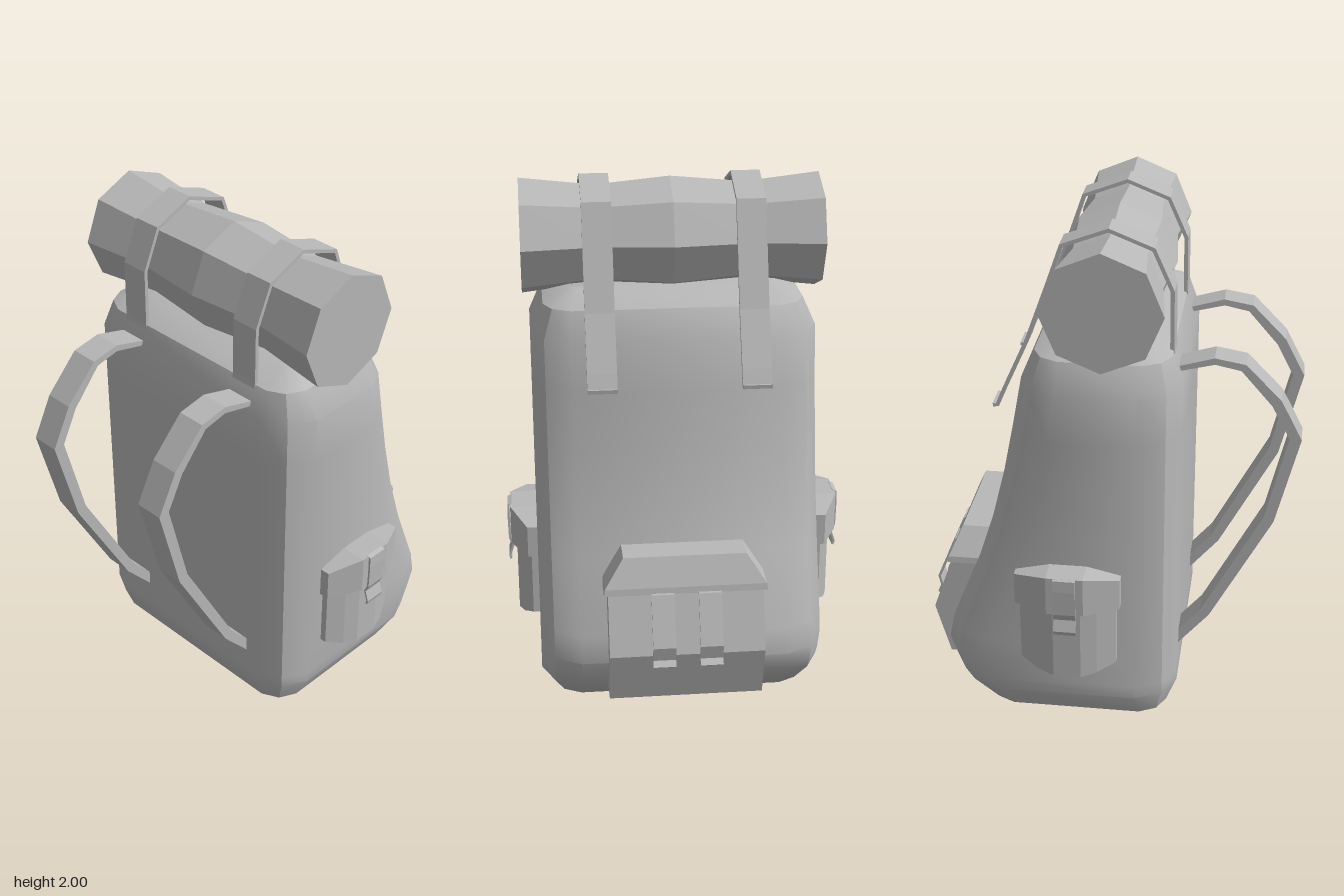
import * as THREE from 'three';
import { toCreasedNormals } from 'three/addons/utils/BufferGeometryUtils.js';

const canvas = new THREE.MeshStandardMaterial({ color: 0xb8b8b8 });
canvas.name = 'grey canvas';

// Skin closed rings of [x, y, z] points, cap both ends and face outwards.
function loft(rings, crease = 0) {
  const tris = [];
  const n = rings[0].length;
  for (let i = 0; i < rings.length - 1; i++) {
    for (let j = 0; j < n; j++) {
      const k = (j + 1) % n;
      const [a, b, c, d] = [rings[i][j], rings[i][k], rings[i + 1][k], rings[i + 1][j]];
      tris.push([a, b, c], [a, c, d]);
    }
  }
  const cap = (ring, flip) => {
    const mid = [0, 1, 2].map(q => ring.reduce((s, p) => s + p[q], 0) / n);
    ring.forEach((p, j) => {
      const next = ring[(j + 1) % n];
      tris.push(flip ? [mid, next, p] : [mid, p, next]);
    });
  };
  cap(rings[0], true);
  cap(rings[rings.length - 1], false);
  const volume = tris.reduce((sum, t) => {
    const [a, b, c] = t.map(p => new THREE.Vector3(...p));
    return sum + a.dot(b.cross(c));
  }, 0);
  if (volume < 0) tris.forEach(t => t.reverse());
  const geo = new THREE.BufferGeometry();
  geo.setAttribute('position', new THREE.Float32BufferAttribute(tris.flat(2), 3));
  geo.computeVertexNormals();
  return crease ? toCreasedNormals(geo, crease) : geo;
}

// Flat-edged band: a polyline of [u, v, thickness] thickened into a closed strip;
// place(u, v, side) turns it into 3D, with side = -1 or 1 for the two edges.
function band(path, place) {
  const pts = path.map(p => new THREE.Vector2(p[0], p[1]));
  const rings = pts.map((p, i) => {
    const before = pts[Math.max(i - 1, 0)];
    const after = pts[Math.min(i + 1, pts.length - 1)];
    const dir = after.clone().sub(before).normalize();
    const t = path[i][2] / 2;
    const [ox, oy] = [-dir.y * t, dir.x * t];
    return [
      place(p.x + ox, p.y + oy, -1), place(p.x + ox, p.y + oy, 1),
      place(p.x - ox, p.y - oy, 1), place(p.x - ox, p.y - oy, -1),
    ];
  });
  return loft(rings);
}

export function createModel() {
  const model = new THREE.Group();
  model.name = 'backpack';
  const add = (name, geo) => {
    const mesh = new THREE.Mesh(geo, canvas);
    mesh.name = name;
    model.add(mesh);
  };

  // Main bag: [y, half width, front z, back z, corner size]
  const levels = [
    [0, 0.39, 0.13, -0.30, 0.03],
    [0.05, 0.49, 0.25, -0.45, 0.10],
    [0.15, 0.54, 0.29, -0.555, 0.15],
    [0.20, 0.54, 0.29, -0.59, 0.15],
    [0.28, 0.54, 0.29, -0.62, 0.15],
    [0.38, 0.54, 0.29, -0.60, 0.15],
    [0.65, 0.54, 0.29, -0.49, 0.15],
    [0.85, 0.54, 0.29, -0.425, 0.15],
    [1.05, 0.54, 0.29, -0.375, 0.15],
    [1.25, 0.54, 0.29, -0.335, 0.15],
    [1.44, 0.54, 0.29, -0.30, 0.15],
    [1.55, 0.49, 0.25, -0.25, 0.10],
    [1.60, 0.39, 0.13, -0.13, 0.03],
  ];
  const bagRings = levels.map(([y, w, f, b, c]) => {
    const corner = [[0, c], [c / 3, c / 3], [c, 0]];
    const front = s => corner.map(([dx, dz]) => [s * (w - dx), y, f - dz]);
    const back = s => corner.map(([dx, dz]) => [s * (w - dx), y, b + dz]);
    return [...front(1), ...front(-1).reverse(), ...back(-1), ...back(1).reverse()];
  });
  add('bag', loft(bagRings, THREE.MathUtils.degToRad(33)));

  // Bedroll, pinched where the straps hold it
  const stations = [[-0.565, 0.222], [-0.285, 0.19], [0, 0.217], [0.285, 0.19], [0.565, 0.222]];
  const rollRings = stations.map(([x, r]) => Array.from({ length: 8 }, (_, i) => {
    const a = i * Math.PI / 4;
    return [x, 1.767 + r * Math.cos(a), 0.015 + r * Math.sin(a)];
  }));
  add('bedroll', loft(rollRings));

  // Straps, all drawn as [z, y, thickness]
  const rollStrap = [
    [0.255, 1.475, 0.015], [0.245, 1.56, 0.015], [0.243, 1.775, 0.015], [0.175, 1.928, 0.015],
    [0.015, 1.992, 0.015], [-0.155, 1.928, 0.015], [-0.208, 1.775, 0.015],
    [-0.29, 1.55, 0.015], [-0.38, 1.35, 0.015], [-0.403, 1.295, 0.015], [-0.42, 1.293, 0.015],
  ];
  const shoulderStrap = [
    [0.23, 1.49, 0.02], [0.27, 1.48, 0.02], [0.40, 1.515, 0.025], [0.505, 1.495, 0.03],
    [0.63, 1.36, 0.04], [0.704, 1.218, 0.045], [0.62, 0.875, 0.042],
    [0.39, 0.44, 0.04], [0.275, 0.305, 0.04],
  ];
  const pocketStrap = [
    [-0.58, 0.575, 0.01], [-0.643, 0.57, 0.01], [-0.72, 0.39, 0.01],
    [-0.708, 0.335, 0.01], [-0.725, 0.312, 0.01],
  ];
  const along = (x, width) => (z, y, s) => [x + s * width / 2, y, z];

  // Back pocket and its flap: levels of [y, half width, back z]
  const backPanel = list => loft(list.map(([y, w, z]) => [
    [-w, y, -0.42], [w, y, -0.42], [w, y, z], [-w, y, z],
  ]));
  add('backPocket', backPanel([[0.14, 0.29, -0.645], [0.35, 0.29, -0.703], [0.57, 0.29, -0.625]]));
  add('backPocketFlap', backPanel([[0.57, 0.305, -0.637], [0.595, 0.302, -0.632], [0.70, 0.23, -0.585]]));

  // Side pockets: columns of [z, outer x, bottom y, top y]
  const pocket = [
    [0.07, 0.565, 0.335, 0.62], [0.0, 0.60, 0.305, 0.62], [-0.06, 0.62, 0.29, 0.62],
    [-0.165, 0.62, 0.29, 0.62], [-0.23, 0.60, 0.305, 0.62], [-0.298, 0.565, 0.335, 0.62],
  ];
  const flap = [
    [0.085, 0.578, 0.585, 0.71], [-0.045, 0.642, 0.585, 0.74],
    [-0.185, 0.642, 0.585, 0.74], [-0.315, 0.578, 0.585, 0.71],
  ];
  const sideStrap = [
    [0.635, 0.738, 0.008], [0.648, 0.735, 0.008], [0.65, 0.69, 0.008], [0.648, 0.59, 0.008],
    [0.635, 0.56, 0.008], [0.65, 0.515, 0.008], [0.645, 0.5, 0.008],
  ];

  // Everything that comes in a left and right pair
  for (const [s, label] of [[1, 'left'], [-1, 'right']]) {
    const columns = list => loft(list.map(([z, x, lo, hi]) => [
      [s * 0.5, lo, z], [s * x, lo, z], [s * x, hi, z], [s * 0.5, hi, z],
    ]));
    add(label + 'SidePocket', columns(pocket));
    add(label + 'SidePocketFlap', columns(flap));
    add(label + 'SidePocketStrap', band(sideStrap, (x, y, e) => [s * x, y, -0.115 + e * 0.042]));
    add(label + 'BedrollStrap', band(rollStrap, along(s * 0.285, 0.11)));
    add(label + 'ShoulderStrap', band(shoulderStrap, along(s * 0.285, 0.11)));
    add(label + 'BackPocketStrap', band(pocketStrap, along(s * 0.088, 0.085)));
  }
  return model;
}
